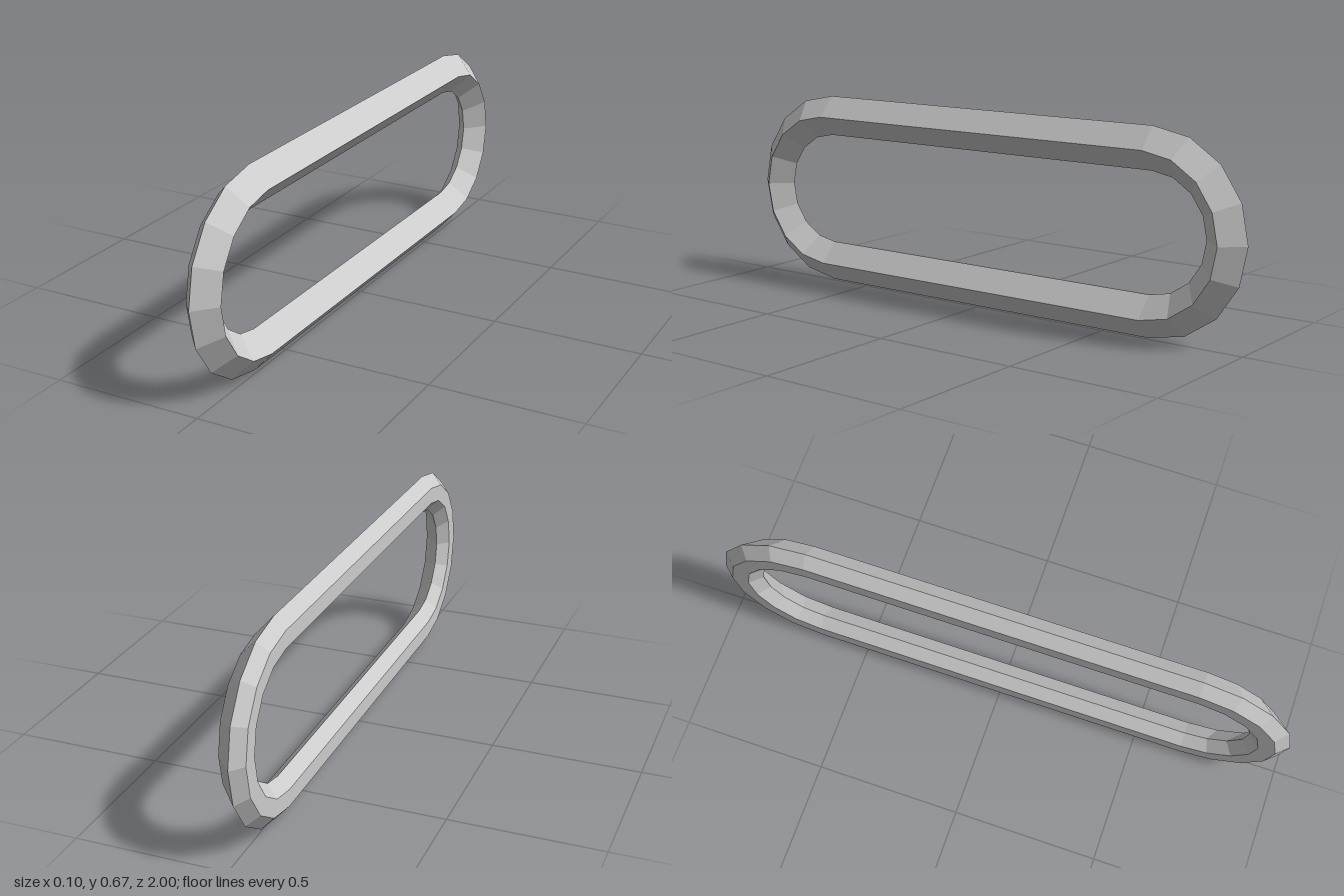
import * as THREE from 'three';

const RADIUS = 0.336;      // outer radius of the rounded ends
const HALF_STRAIGHT = 0.664; // half length of the straight bars
const END_STEPS = 8;

// Cross-section of the band: [x, distance inward from the outer rim]
const SECTION = [
  [-0.013, 0],
  [0.05, 0.07],
  [-0.013, 0.14],
  [-0.05, 0.099],
  [-0.05, 0.041],
];

// Sweeps the section around a stadium-shaped path in the yz plane
function linkGeometry() {
  const positions = [];
  const index = [];
  for (const side of [1, -1]) {
    for (let i = 0; i <= END_STEPS; i++) {
      const a = -Math.PI / 2 + (i / END_STEPS) * Math.PI + (side < 0 ? Math.PI : 0);
      for (const [x, inset] of SECTION) {
        const r = RADIUS - inset;
        positions.push(x, RADIUS + r * Math.sin(a), side * HALF_STRAIGHT + r * Math.cos(a));
      }
    }
  }
  const n = SECTION.length;
  const rings = 2 * (END_STEPS + 1);
  for (let i = 0; i < rings; i++) {
    const j = (i + 1) % rings;
    for (let k = 0; k < n; k++) {
      const l = (k + 1) % n;
      const a = i * n + k, b = i * n + l, c = j * n + l, d = j * n + k;
      index.push(a, b, c, a, c, d);
    }
  }
  const indexed = new THREE.BufferGeometry();
  indexed.setAttribute('position', new THREE.Float32BufferAttribute(positions, 3));
  indexed.setIndex(index);
  const geometry = indexed.toNonIndexed();
  geometry.computeVertexNormals();
  return geometry;
}

export function createModel() {
  const group = new THREE.Group();
  group.name = 'elongatedLink';
  const material = new THREE.MeshStandardMaterial({ color: 0xcccccc, flatShading: true });
  const band = new THREE.Mesh(linkGeometry(), material);
  band.name = 'bevelledBand';
  group.add(band);
  return group;
}
